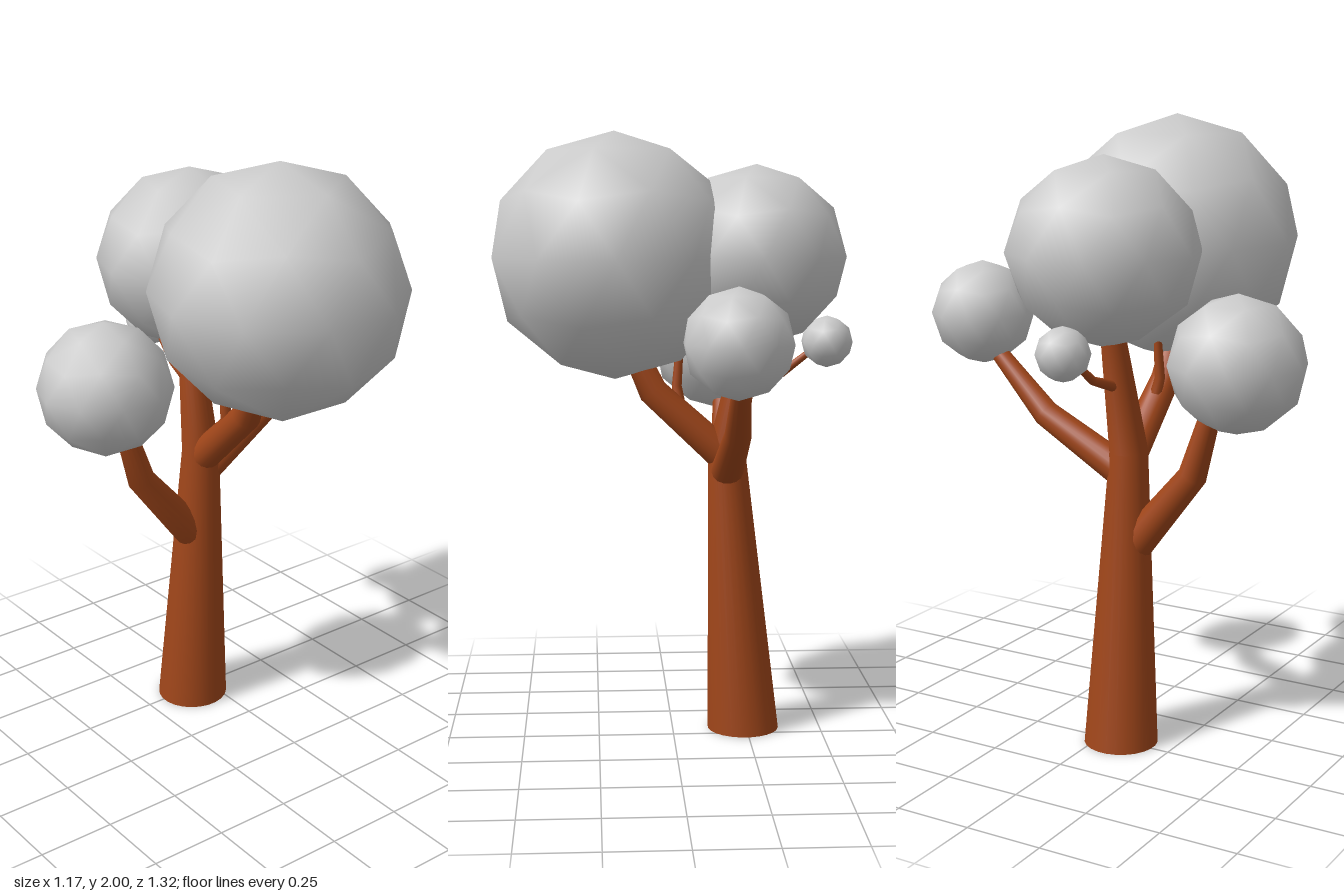
import * as THREE from 'three';

const bark = new THREE.MeshStandardMaterial({ color: 0xa0461a, side: THREE.DoubleSide });
const leaf = new THREE.MeshStandardMaterial({ color: 0xcccccc });

// Tapered, bent limb: each point is [x, y, z, radius]
function limb(name, points, sides = 16, firstNormal = null) {
  const centres = points.map(p => new THREE.Vector3(p[0], p[1], p[2]));
  const dirs = centres.slice(1).map((c, i) => c.clone().sub(centres[i]).normalize());
  const positions = [], index = [];
  const u = new THREE.Vector3(0.6, 0.1, 0.8);
  points.forEach((p, i) => {
    const t = new THREE.Vector3();
    if (i > 0) t.add(dirs[i - 1]);
    if (i < dirs.length) t.add(dirs[i]);
    if (i === 0 && firstNormal) t.copy(firstNormal);
    t.normalize();
    // carry the ring direction along so the limb does not twist
    u.addScaledVector(t, -u.dot(t)).normalize();
    const w = t.clone().cross(u);
    for (let j = 0; j < sides; j++) {
      const a = (j / sides) * Math.PI * 2;
      const v = centres[i].clone()
        .addScaledVector(u, p[3] * Math.cos(a))
        .addScaledVector(w, p[3] * Math.sin(a));
      positions.push(v.x, v.y, v.z);
      if (i < points.length - 1) {
        const k = (j + 1) % sides, r = i * sides, s = r + sides;
        index.push(r + j, r + k, s + j, r + k, s + k, s + j);
      }
    }
  });
  const geo = new THREE.BufferGeometry();
  geo.setAttribute('position', new THREE.Float32BufferAttribute(positions, 3));
  geo.setIndex(index);
  geo.computeVertexNormals();
  const mesh = new THREE.Mesh(geo, bark);
  mesh.name = name;
  return mesh;
}

// Low-poly ball with one corner straight up and smooth shading
function foliage(name, centre, radii) {
  const geo = new THREE.IcosahedronGeometry(1, 1);
  geo.rotateZ(-Math.atan(2 / (1 + Math.sqrt(5))));
  geo.scale(...radii);
  const mesh = new THREE.Mesh(geo, leaf);
  mesh.position.set(...centre);
  mesh.name = name;
  return mesh;
}

export function createModel() {
  const tree = new THREE.Group();
  tree.name = 'tree';

  // Trunk, running on into the branch under the second-largest ball
  tree.add(limb('trunk', [
    [-0.24, 0, 0.07, 0.12],
    [-0.18, 0.96, 0.065, 0.062],
    [-0.255, 1.36, 0.05, 0.038],
  ], 24, new THREE.Vector3(0, 1, 0)));

  // Branches
  tree.add(limb('leftBranch', [
    [-0.18, 0.93, 0.063, 0.055], [0.065, 1.155, 0.063, 0.048], [0.14, 1.32, 0.063, 0.038]]));
  tree.add(limb('backBranch', [
    [-0.18, 0.88, 0.06, 0.055], [-0.19, 1.05, -0.24, 0.043], [-0.185, 1.26, -0.45, 0.026]]));
  tree.add(limb('frontBranch', [
    [-0.195, 0.64, 0.08, 0.06], [-0.19, 0.91, 0.3, 0.046], [-0.19, 1.16, 0.375, 0.03]]));

  // Thin twigs
  tree.add(limb('rightTwig', [
    [-0.22, 1.17, 0.06, 0.02], [-0.36, 1.215, 0.045, 0.014], [-0.48, 1.31, 0.03, 0.01]], 10));
  tree.add(limb('innerTwig', [
    [-0.03, 1.07, 0.065, 0.022], [-0.015, 1.17, 0.085, 0.017], [-0.03, 1.38, 0.08, 0.011]], 10));

  // Foliage balls
  tree.add(foliage('largeFoliage', [0.19, 1.6, 0.032], [0.41, 0.4, 0.402]));
  tree.add(foliage('mediumFoliage', [-0.27, 1.6, 0.03], [0.297, 0.295, 0.308]));
  tree.add(foliage('frontFoliage', [-0.168, 1.272, 0.44], [0.217, 0.217, 0.217]));
  tree.add(foliage('backFoliage', [-0.168, 1.36, -0.495], [0.17, 0.17, 0.168]));
  tree.add(foliage('tinyFoliage', [-0.506, 1.32, 0.03], [0.085, 0.085, 0.085]));

  return tree;
}
